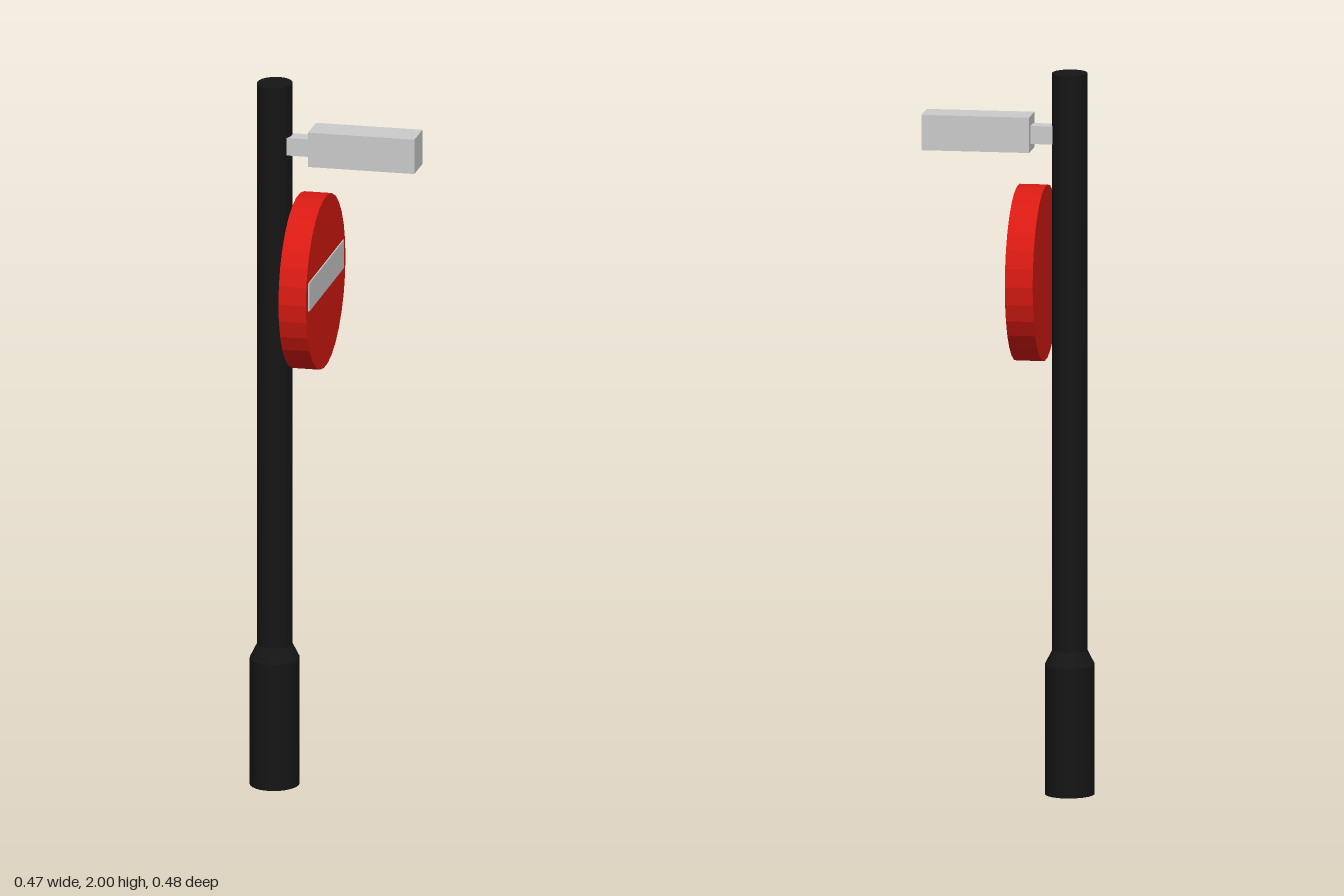
import * as THREE from 'three';

const mat = (color) => new THREE.MeshStandardMaterial({ color, flatShading: true });

export function createModel() {
  const group = new THREE.Group();
  const grey = mat(0xcccccc);
  const black = mat(0x151515);
  const red = mat(0xd81a12);

  const add = (name, geometry, material) => {
    const mesh = new THREE.Mesh(geometry, material);
    mesh.name = name;
    group.add(mesh);
    return mesh;
  };

  // box given by its minimum and maximum corners
  const box = (name, [x0, y0, z0], [x1, y1, z1], material) =>
    add(name, new THREE.BoxGeometry(x1 - x0, y1 - y0, z1 - z0), material)
      .position.set((x0 + x1) / 2, (y0 + y1) / 2, (z0 + z1) / 2);

  // post with a thicker foot and a short shoulder, slightly oval in plan
  const profile = [[0, 0], [0.068, 0], [0.068, 0.36], [0.048, 0.4], [0.048, 2], [0, 2]]
    .map(([r, y]) => new THREE.Vector2(r, y));
  const post = add('post', new THREE.LatheGeometry(profile, 30), black);
  post.scale.z = 1.12;
  post.position.set(-0.168, 0, -0.003);

  // round sign facing +x, with a raised bar
  const disc = add('signDisc', new THREE.CylinderGeometry(0.242, 0.242, 0.077, 30), red);
  disc.rotation.z = -Math.PI / 2;
  disc.position.set(-0.063, 1.443, 0);
  box('signBar', [-0.03, 1.42, -0.211], [-0.021, 1.5, 0.214], grey);

  // lamp on a short arm, with a light panel underneath
  box('lampArm', [-0.13, 1.803, -0.022], [-0.06, 1.853, 0.026], grey);
  box('lampHousing', [-0.062, 1.782, -0.045], [0.236, 1.88, 0.051], grey);
  box('lampPanel', [0.08, 1.78, -0.027], [0.205, 1.79, 0.033], mat(0xffffff));

  return group;
}
